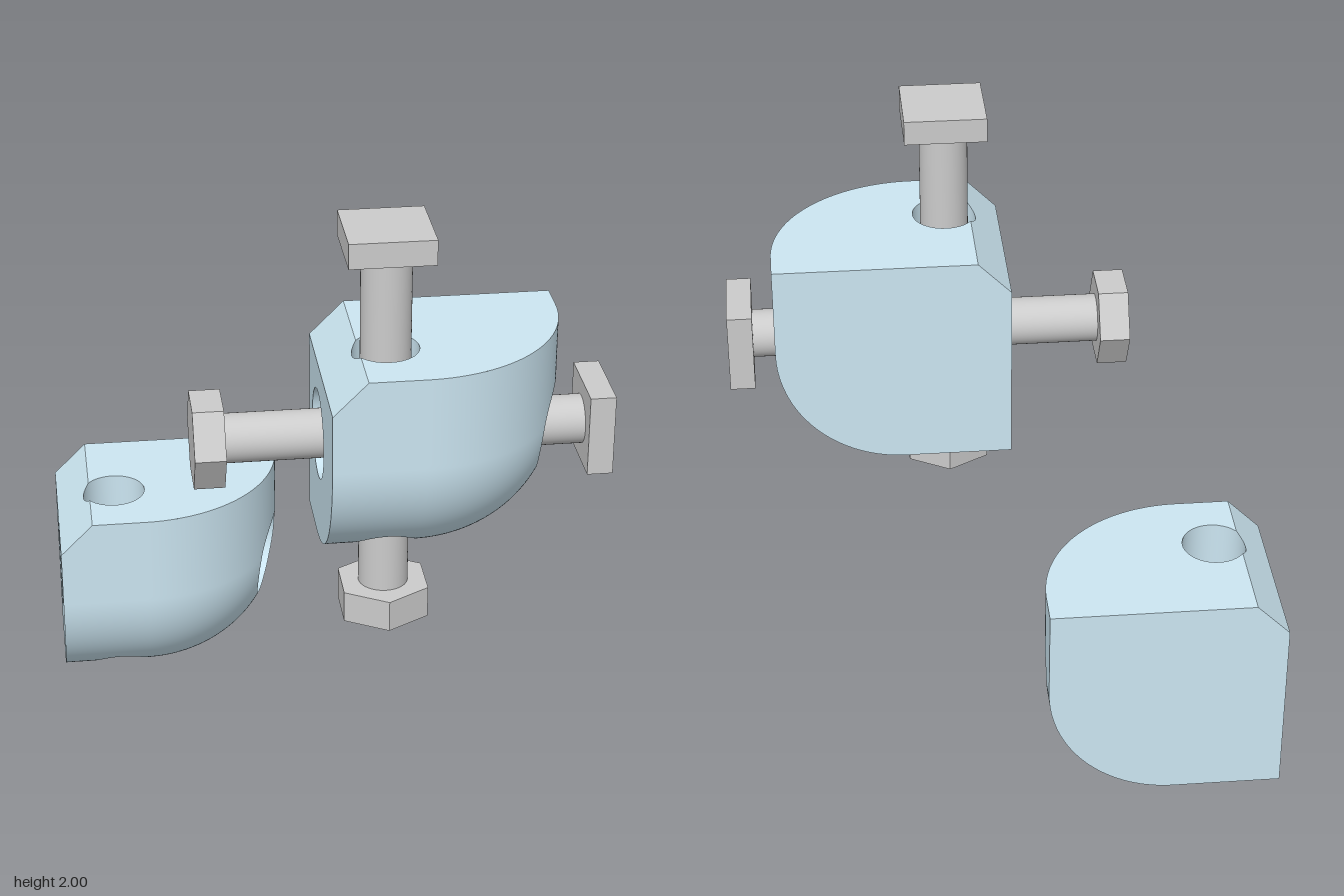
import * as THREE from 'three';

const V = (x, y, z) => new THREE.Vector3(x, y, z);

// Block dimensions
const xL = -0.885, xR = -0.105, zB = -0.685, zF = -0.085, yT = 0.725;
const R = 0.49;      // plan radius of the upright rounded edge
const F = 0.42;      // fillet radius of the bottom edge
const cut = 0.11;    // chamfer between top and side
const cx = xR - R, cz = zF - R;
const up = { x: -0.69, z: -0.325, r: 0.106 };      // upright bore
const cross = { y: 0.372, z: -0.455, r: 0.147 };   // sideways bore

// Signed distances: plan outline, then outline with filleted bottom edge
const plan = (p) => {
  const a = p.x - cx, b = p.z - cz;
  return Math.min(Math.max(a, b), 0) + Math.hypot(Math.max(a, 0), Math.max(b, 0)) - R;
};
const filleted = (p) => {
  const a = plan(p) + F, b = F - p.y;
  return Math.min(Math.max(a, b), 0) + Math.hypot(Math.max(a, 0), Math.max(b, 0)) - F;
};

// Each limit is positive where the block has material
const limits = {
  side: (p) => p.x - xL,
  back: (p) => p.z - zB,
  top: (p) => yT - p.y,
  chamfer: (p) => (p.x - xL + yT - p.y - cut) * Math.SQRT1_2,
  round: (p) => -filleted(p),
  up: (p) => Math.hypot(p.x - up.x, p.z - up.z) - up.r,
  cross: (p) => Math.hypot(p.y - cross.y, p.z - cross.z) - cross.r,
};

// Cut one polygon at the zero line of a limit
function clip(poly, f) {
  const out = [];
  poly.forEach((a, i) => {
    const b = poly[(i + 1) % poly.length], fa = f(a.p), fb = f(b.p);
    if (fa >= 0) out.push(a);
    if ((fa >= 0) !== (fb >= 0)) {
      const t = fa / (fa - fb);
      out.push({ p: a.p.clone().lerp(b.p, t), n: a.n.clone().lerp(b.n, t).normalize() });
    }
  });
  return out;
}

// Sample a face as a grid, trim it by the given limits, wind it along its normals
function trimmedFace(at, nu, nv, tests) {
  const pos = [], nor = [], rows = [];
  for (let j = 0; j <= nv; j++) {
    rows.push([]);
    for (let i = 0; i <= nu; i++) rows[j].push(at(i / nu, j / nv));
  }
  const emit = (tri) => {
    let poly = tri;
    for (const f of tests) if (poly.length > 2) poly = clip(poly, f);
    for (let k = 2; k < poly.length; k++) {
      let [a, b, c] = [poly[0], poly[k - 1], poly[k]];
      const face = b.p.clone().sub(a.p).cross(c.p.clone().sub(a.p));
      if (face.dot(a.n) < 0) [b, c] = [c, b];
      for (const q of [a, b, c]) { pos.push(...q.p.toArray()); nor.push(...q.n.toArray()); }
    }
  };
  for (let j = 0; j < nv; j++) for (let i = 0; i < nu; i++) {
    const a = rows[j][i], b = rows[j][i + 1], c = rows[j + 1][i + 1], d = rows[j + 1][i];
    emit([a, b, c]);
    emit([a, c, d]);
  }
  const g = new THREE.BufferGeometry();
  g.setAttribute('position', new THREE.Float32BufferAttribute(pos, 3));
  g.setAttribute('normal', new THREE.Float32BufferAttribute(nor, 3));
  return g;
}

// Front, rounded edge and right side as one wall that rolls into the bottom
function wallPoint(u, v) {
  const e = 0.02, l1 = cx - xL + e, la = R * Math.PI / 2, l2 = cz - zB + e;
  const s = u * (l1 + la + l2);
  let x, z, ang;
  if (s < l1) { ang = 0; x = xL - e + s; z = zF; }
  else if (s < l1 + la) { ang = (s - l1) / R; x = cx + R * Math.sin(ang); z = cz + R * Math.cos(ang); }
  else { ang = Math.PI / 2; x = xR; z = cz - (s - l1 - la); }
  const h = yT - F + e, t = v * (h + F * Math.PI / 2);
  const roll = Math.max(0, (t - h) / F), inset = F * (1 - Math.cos(roll));
  const y = t < h ? yT + e - t : F - F * Math.sin(roll);
  const nx = Math.sin(ang), nz = Math.cos(ang), c = Math.cos(roll);
  return { p: V(x - nx * inset, y, z - nz * inset), n: V(nx * c, -Math.sin(roll), nz * c) };
}

const mix = THREE.MathUtils.lerp;
const X = (t) => mix(xL - 0.01, xR + 0.01, t);
const Y = (t) => mix(-0.01, yT + 0.01, t);
const Z = (t) => mix(zB - 0.01, zF + 0.01, t);

function blockFaces() {
  const except = (...skip) => Object.keys(limits).filter((k) => !skip.includes(k)).map((k) => limits[k]);
  const flat = (point, n, tests) => trimmedFace((u, v) => ({ p: point(u, v), n: n.clone() }), 40, 40, tests);
  const bore = (point, normal, tests) => trimmedFace((u, v) => {
    const a = u * Math.PI * 2, c = Math.cos(a), s = Math.sin(a);
    return { p: point(c, s, v), n: normal(c, s) };
  }, 64, 36, tests);
  return {
    roundedWall: trimmedFace(wallPoint, 84, 60, except('round')),
    topFace: flat((u, v) => V(X(u), yT, Z(v)), V(0, 1, 0), except('top')),
    chamferFace: flat((u, v) => V(xL + cut * u, yT - cut + cut * u, Z(v)),
      V(-1, 1, 0).normalize(), except('chamfer', 'side', 'top')),
    sideFace: flat((u, v) => V(xL, Y(u), Z(v)), V(-1, 0, 0), except('side')),
    backFace: flat((u, v) => V(X(u), Y(v), zB), V(0, 0, -1), except('back')),
    bottomFace: flat((u, v) => V(X(u), 0, Z(v)), V(0, -1, 0),
      [...except('round'), (p) => -plan(p) - F]),
    uprightBore: bore((c, s, v) => V(up.x + up.r * c, Y(v), up.z + up.r * s),
      (c, s) => V(-c, 0, -s), except('up')),
    sidewaysBore: bore((c, s, v) => V(X(v), cross.y + cross.r * c, cross.z + cross.r * s),
      (c, s) => V(0, -c, -s), except('cross')),
  };
}

export function createModel() {
  const model = new THREE.Group();
  const blue = new THREE.MeshStandardMaterial({ color: 0xcce6f2 });
  const grey = new THREE.MeshStandardMaterial({ color: 0xcccccc });

  const add = (parent, name, geometry, material, y = 0) => {
    const m = new THREE.Mesh(geometry, material);
    m.name = name;
    m.position.y = y;
    parent.add(m);
  };

  // Two identical drilled blocks
  const faces = blockFaces();
  for (const [name, offset] of [['lowerBlock', [0, 0, 0]], ['upperBlock', [0.83, 0.865, 0.77]]]) {
    const block = new THREE.Group();
    block.name = name;
    block.position.set(...offset);
    for (const [part, geometry] of Object.entries(faces)) add(block, part, geometry, blue);
    model.add(block);
  }

  // Bolt along y: hexagonal head at the bottom, square head at the top
  const bolt = (name, lo, hexTop, squareBottom, hi) => {
    const g = new THREE.Group();
    g.name = name;
    const hex = new THREE.CylinderGeometry(0.157, 0.157, hexTop - lo, 6).toNonIndexed();
    hex.computeVertexNormals();
    add(g, 'hexHead', hex, grey, (lo + hexTop) / 2);
    add(g, 'shaft', new THREE.CylinderGeometry(0.08, 0.08, squareBottom - hexTop, 48), grey, (hexTop + squareBottom) / 2);
    add(g, 'squareHead', new THREE.BoxGeometry(0.27, hi - squareBottom, 0.27), grey, (squareBottom + hi) / 2);
    model.add(g);
    return g;
  };
  bolt('uprightBolt', 0.66, 0.765, 1.918, 2).position.set(0.14, 0, 0.445);
  const sideways = bolt('sidewaysBolt', -0.46, -0.36, 0.797, 0.88);
  sideways.rotation.z = -Math.PI / 2;
  sideways.position.set(0, 1.237, 0.312);

  return model;
}
